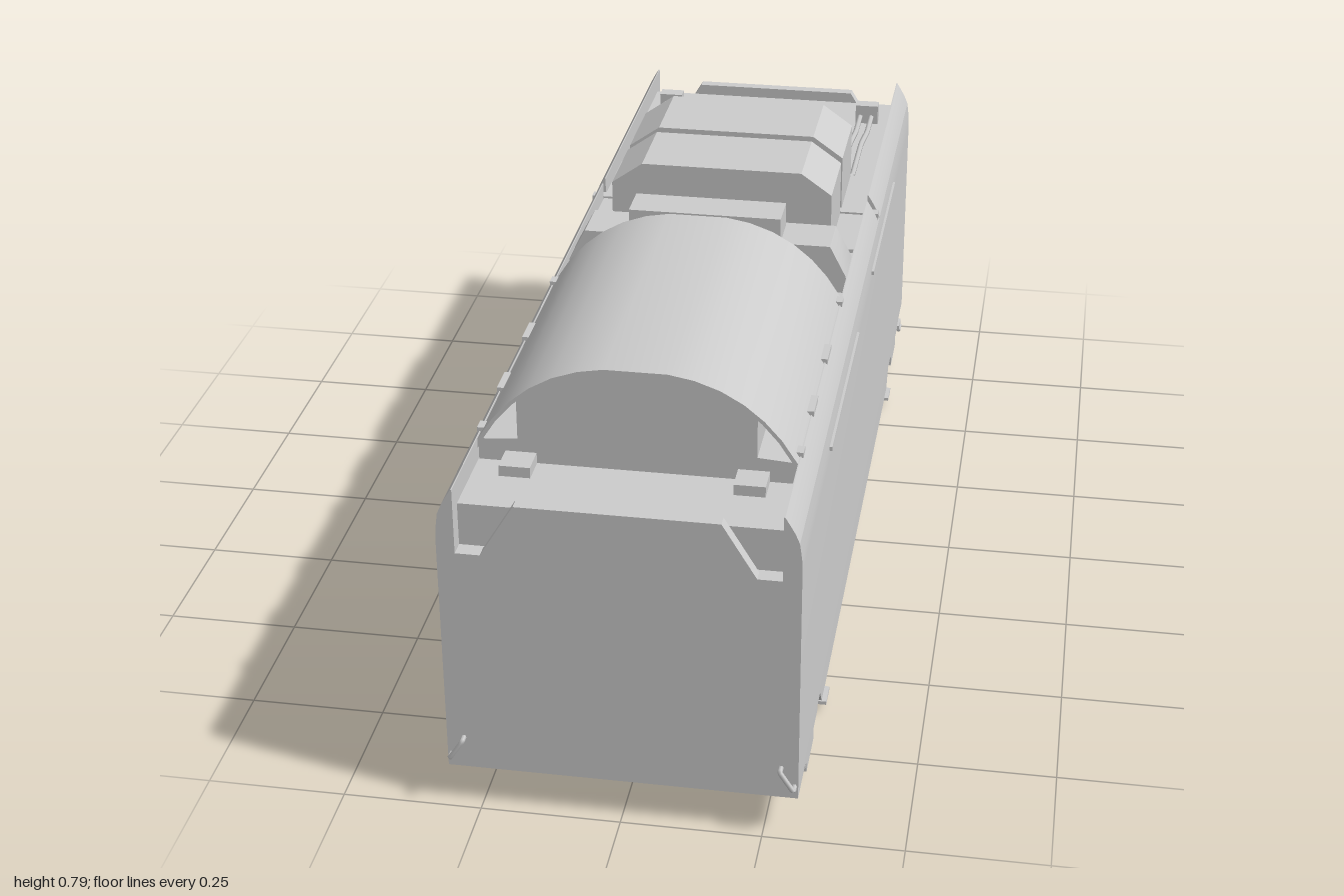
import * as THREE from 'three';
import { toCreasedNormals } from 'three/addons/utils/BufferGeometryUtils.js';

const material = new THREE.MeshStandardMaterial({ color: 0xcccccc, side: THREE.DoubleSide });

export function createModel() {
  const model = new THREE.Group();

  const add = (name, geometry) => {
    const mesh = new THREE.Mesh(geometry, material);
    mesh.name = name;
    model.add(mesh);
    return mesh;
  };
  const box = (name, x0, x1, y0, y1, z0, z1) => {
    const g = new THREE.BoxGeometry(Math.abs(x1 - x0), y1 - y0, z1 - z0);
    return add(name, g.translate((x0 + x1) / 2, (y0 + y1) / 2, (z0 + z1) / 2));
  };
  const toShape = (pts) => new THREE.Shape(pts.map(([x, y]) => new THREE.Vector2(x, y)));
  // Cross-section in x and y, run along z
  const alongZ = (name, pts, z0, z1) => {
    const g = new THREE.ExtrudeGeometry(toShape(pts), { depth: z1 - z0, bevelEnabled: false });
    return add(name, toCreasedNormals(g.translate(0, 0, z0), 0.55));
  };
  // Side profile in z and y, run across x
  const alongX = (name, pts, x0, x1) => {
    const g = new THREE.ExtrudeGeometry(toShape(pts), { depth: x1 - x0, bevelEnabled: false });
    return add(name, g.rotateY(-Math.PI / 2).translate(x1, 0, 0));
  };
  // Completes a right half outline with its mirror image
  const mirrored = (half) => [...half, ...half.map(([x, y]) => [-x, y]).reverse()];
  const pipe = (name, pts, r) => {
    const path = new THREE.CurvePath();
    const v = pts.map((p) => new THREE.Vector3(...p));
    for (let i = 1; i < v.length; i++) path.add(new THREE.LineCurve3(v[i - 1], v[i]));
    const curve = v.length > 2 ? new THREE.CatmullRomCurve3(v, false, 'catmullrom', 0.15) : path;
    return add(name, new THREE.TubeGeometry(curve, 24, r, 6));
  };

  // Body core and recessed roof deck
  box('bodyCore', -0.279, 0.279, 0.16, 0.68, -0.95, 0.95);

  // Side walls with curved tops, cut by a drain slot behind the middle
  for (const s of [-1, 1]) {
    const lower = [[0.278, 0.16], [0.31, 0.16], [0.31, 0.62], [0.309, 0.645], [0.305, 0.675], [0.278, 0.675]];
    const upper = [[0.278, 0.675], [0.305, 0.675], [0.298, 0.692], [0.288, 0.71], [0.28, 0.723], [0.278, 0.723]];
    const side = (pts) => pts.map(([x, y]) => [s * x, y]);
    alongZ('sideWall', side(lower), -0.98, 0.98);
    alongZ('sideWallTop', side(upper), -0.98, -0.33);
    alongZ('sideWallTop', side(upper), -0.305, 0.98);

    // Long thin rain strips
    box('rainStrip', s * 0.304, s * 0.314, 0.634, 0.642, 0.14, 0.595);
    box('rainStrip', s * 0.304, s * 0.314, 0.634, 0.642, -0.595, -0.135);

    // Latches along the roof cover
    for (const z of [0.18, 0.4, 0.6, 0.765]) {
      const half = z === 0.4 || z === 0.6 ? 0.03 : 0.012;
      box('roofLatch', s * 0.268, s * 0.284, 0.72, 0.73, z - half, z + half);
    }
  }

  // End walls with notched upper corners
  const endWall = mirrored([[0.278, 0.16], [0.278, 0.6], [0.235, 0.6], [0.175, 0.7]]);
  alongZ('frontEndWall', endWall, 0.957, 0.98);
  alongZ('rearEndWall', endWall, -0.98, -0.957);
  for (const e of [-1, 1]) {
    box('endSill', -0.279, 0.279, 0.16, 0.6, e > 0 ? 0.94 : -0.965, e > 0 ? 0.965 : -0.94);
    for (const s of [-1, 1]) {
      // Corner handrails
      pipe('cornerHandrail', [
        [s * 0.303, 0.186, e * 0.975], [s * 0.303, 0.186, e * 0.995],
        [s * 0.28, 0.222, e * 0.995], [s * 0.28, 0.222, e * 0.975],
      ], 0.0045);
      // Hanging step brackets and lips
      const z = e * 0.79;
      box('stepBracket', s * 0.297, s * 0.308, 0.113, 0.165, z - 0.05, z + 0.05);
      box('stepHanger', s * 0.285, s * 0.31, 0.15, 0.162, z - 0.09, z + 0.09);
      box('stepLip', s * 0.28, s * 0.318, 0.108, 0.115, e * 0.6 - 0.025, e * 0.6 + 0.025);
    }
  }

  // Lowered middle of the underframe, then the belly tank
  alongX('underframe', [[-0.66, 0.162], [-0.62, 0.113], [0.62, 0.113], [0.66, 0.162]], -0.309, 0.309);
  alongZ('bellyTank', mirrored([[0.25, 0.086], [0.28, 0.114]]), -0.62, 0.62);

  // Small coupling hooks under the rear
  for (const s of [-1, 1]) {
    pipe('rearHook', [[s * 0.3, 0.155, -0.85], [s * 0.31, 0.145, -0.87], [s * 0.312, 0.132, -0.89], [s * 0.312, 0.132, -0.915]], 0.005);
    box('hookMount', s * 0.295, s * 0.315, 0.145, 0.157, -0.9, -0.86);
  }

  // Barrel roof cover over the front half
  const arc = [[0.285, 0.705], [0.278, 0.72], [0.25, 0.763], [0.22, 0.797], [0.185, 0.826],
    [0.145, 0.849], [0.1, 0.865], [0.055, 0.873]];
  const outer = mirrored(arc);
  const inner = outer.map(([x, y]) => [x * 0.98, y - 0.005]).reverse();
  alongZ('barrelRoof', [...outer, ...inner], 0.155, 0.8);
  alongZ('engineHousing', mirrored([[0.277, 0.675], [0.277, 0.72], [0.208, 0.725], [0.208, 0.801],
    [0.18, 0.825], [0.14, 0.846], [0.1, 0.86], [0.055, 0.868]]), 0.158, 0.797);

  // Front deck blocks
  for (const s of [-1, 1]) box('frontDeckBlock', s * 0.175, s * 0.23, 0.675, 0.7, 0.79, 0.85);

  // Cross duct and fan box in the middle
  alongZ('crossDuct', mirrored([[0.278, 0.678], [0.275, 0.715], [0.243, 0.777]]), -0.05, 0.05);
  box('fanBox', -0.155, 0.145, 0.77, 0.826, -0.035, 0.045);

  // Pair of chamfered equipment housings on a low base
  const housing = mirrored([[0.224, 0.68], [0.224, 0.803], [0.162, 0.847]]);
  alongZ('equipmentHousing', housing, -0.305, -0.135);
  alongZ('equipmentHousing', housing, -0.51, -0.33);
  box('housingBase', -0.278, 0.278, 0.675, 0.688, -0.51, -0.135);
  box('slotBar', -0.303, 0.303, 0.67, 0.692, -0.33, -0.308);

  // Rear deck box with pipework
  box('rearDeckBox', -0.095, 0.02, 0.675, 0.746, -0.74, -0.605);
  for (const s of [-1, 1]) box('pipeJunction', s * 0.2, s * 0.25, 0.675, 0.722, -0.86, -0.83);
  for (let i = 0; i < 3; i++) {
    const x = -0.238 + i * 0.016;
    const z = -0.655 - i * 0.022;
    pipe('rearPipe', [[x, 0.7, -0.835], [x, 0.7, z - 0.045], [x + 0.012, 0.7, z - 0.01], [x + 0.04, 0.7, z], [-0.09, 0.7, z]], 0.005);
  }
  for (const x of [-0.235, -0.215, 0.21, 0.235]) {
    pipe('sidePipe', [[x, 0.695, -0.84], [x, 0.695, -0.74], [x * 0.97, 0.69, -0.68], [x * 0.97, 0.69, -0.505]], 0.006);
  }

  return model;
}
